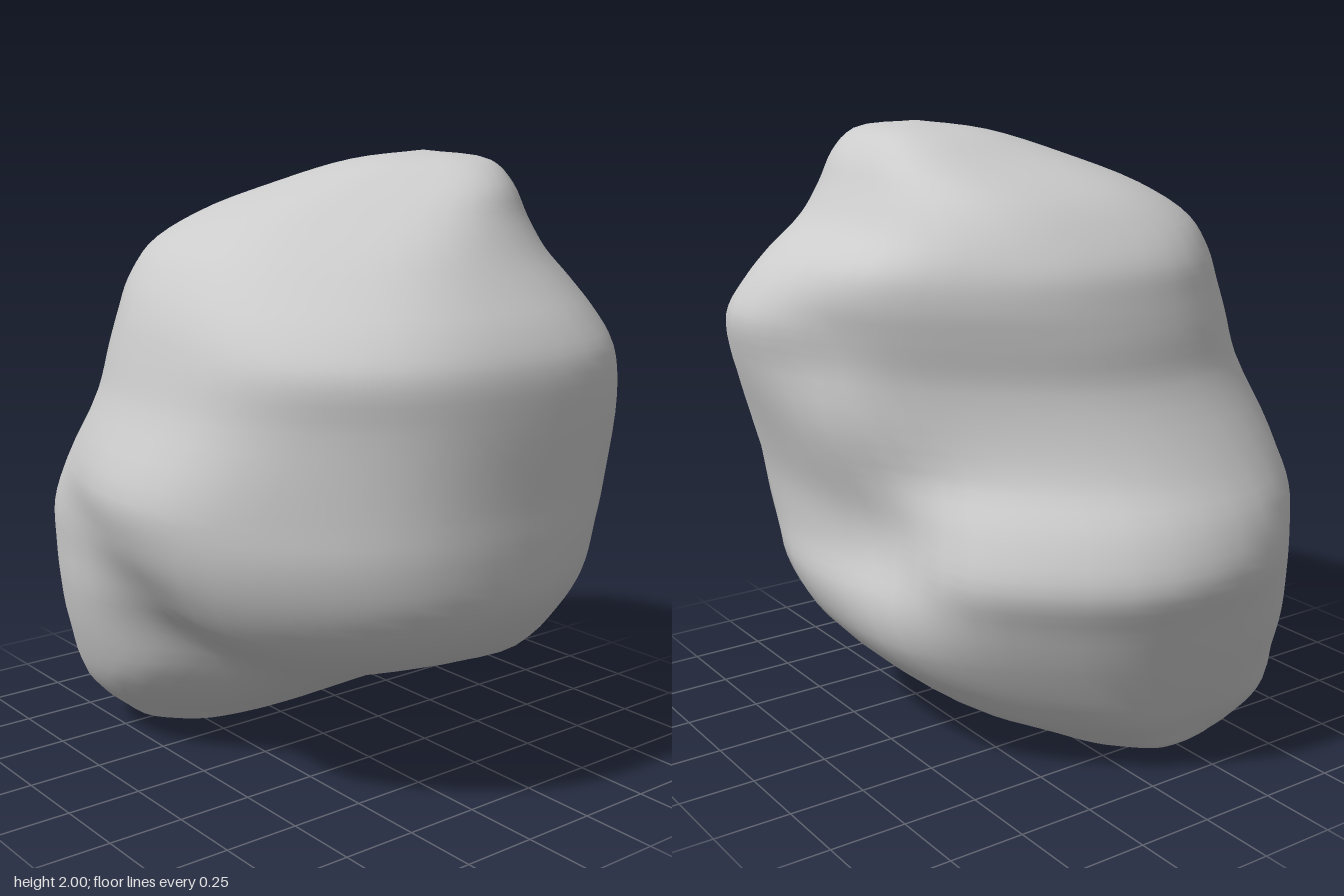
import * as THREE from 'three';
import { mergeVertices } from 'three/addons/utils/BufferGeometryUtils.js';

// Height, then the reach from the axis in eight directions, turning from +x to +z.
const LEVELS = [
  [0.03, -0.30, 0.00, 0.44, 0.66, 0.62, 0.34, 0.00, -0.32],
  [0.10, -0.12, 0.10, 0.53, 0.80, 0.67, 0.43, 0.18, -0.05],
  [0.20, 0.08, 0.25, 0.63, 0.88, 0.73, 0.53, 0.40, 0.26],
  [0.40, 0.63, 0.54, 0.73, 0.92, 0.82, 0.65, 0.63, 0.69],
  [0.56, 0.80, 0.74, 0.78, 0.93, 0.88, 0.72, 0.70, 0.81],
  [0.70, 0.89, 0.83, 0.81, 0.93, 0.93, 0.77, 0.69, 0.88],
  [0.85, 0.91, 0.87, 0.85, 0.92, 0.89, 0.72, 0.70, 0.92],
  [1.00, 0.91, 0.87, 0.87, 0.86, 0.80, 0.62, 0.74, 0.94],
  [1.25, 0.92, 0.87, 0.76, 0.73, 0.68, 0.59, 0.83, 0.96],
  [1.40, 0.91, 0.88, 0.72, 0.69, 0.66, 0.62, 0.87, 0.94],
  [1.50, 0.86, 0.82, 0.69, 0.66, 0.64, 0.64, 0.83, 0.88],
  [1.60, 0.78, 0.72, 0.64, 0.63, 0.61, 0.64, 0.74, 0.80],
  [1.70, 0.70, 0.60, 0.56, 0.57, 0.53, 0.61, 0.60, 0.72],
  [1.80, 0.63, 0.45, 0.41, 0.42, 0.41, 0.54, 0.53, 0.66],
  [1.90, 0.56, 0.30, 0.18, 0.16, 0.17, 0.39, 0.47, 0.61],
  [1.97, 0.45, 0.18, -0.02, -0.08, 0.00, 0.22, 0.39, 0.54],
];
// Hollows between the lobes: centre, radius, and how far the surface is pushed in.
const HOLLOWS = [
  { at: [0.08, 0.45, 0.70], radius: 0.27, push: [0, 0.04, -0.13] }, // low front
  { at: [0.42, 0.33, 0.00], radius: 0.25, push: [-0.06, 0.06, 0] }, // underside
  { at: [-0.22, 0.78, -0.64], radius: 0.25, push: [0.04, 0, 0.11] }, // back groove
  { at: [-0.02, 1.38, -0.83], radius: 0.22, push: [0, 0, 0.08] }, // upper back
  { at: [-0.28, 0.90, 0.83], radius: 0.24, push: [0, 0, -0.05] }, // front
];
const SIDES = 44;
const ROWS = 68;
const SHARPNESS = 10;

// Point of one level's rounded eight-sided outline at a given angle.
function outlinePoint([y, ...reach], angle) {
  const cx = (reach[0] - reach[4]) / 2;
  const cz = (reach[2] - reach[6]) / 2;
  let sum = 0;
  reach.forEach((r, k) => {
    const a = (k * Math.PI) / 4;
    const h = Math.max(0.05, r - cx * Math.cos(a) - cz * Math.sin(a));
    sum += Math.pow(Math.max(0, Math.cos(angle - a)) / h, SHARPNESS);
  });
  const radius = Math.pow(sum, -1 / SHARPNESS);
  return new THREE.Vector3(cx + radius * Math.cos(angle), y, cz + radius * Math.sin(angle));
}

// Pushes a surface point in, fading out with its distance from each hollow.
function carve(point) {
  const start = point.clone();
  for (const { at, radius, push } of HOLLOWS) {
    const distance = start.distanceTo(new THREE.Vector3(...at)) / radius;
    point.addScaledVector(new THREE.Vector3(...push), Math.exp(-distance * distance));
  }
  return point;
}

function boulderGeometry() {
  const bottom = new THREE.Vector3(-0.47, 0, 0.2);
  const top = new THREE.Vector3(0.22, 2, -0.23);
  const positions = [];
  const index = [];
  // One smooth curve from bottom to top for each side
  for (let i = 0; i < SIDES; i++) {
    const angle = (i / SIDES) * Math.PI * 2;
    const curve = new THREE.CatmullRomCurve3([
      bottom, ...LEVELS.map((level) => outlinePoint(level, angle)), top,
    ]);
    for (let j = 0; j <= ROWS; j++) {
      const p = carve(curve.getPoint(j / ROWS));
      positions.push(p.x, THREE.MathUtils.clamp(p.y, 0, 2), p.z);
    }
  }
  // Skin between neighbouring curves, with single triangles at the two ends
  for (let i = 0; i < SIDES; i++) {
    const here = i * (ROWS + 1);
    const next = ((i + 1) % SIDES) * (ROWS + 1);
    for (let j = 0; j < ROWS; j++) {
      if (j < ROWS - 1) index.push(here + j, here + j + 1, next + j + 1);
      if (j > 0) index.push(here + j, next + j + 1, next + j);
    }
  }
  const geometry = new THREE.BufferGeometry();
  geometry.setAttribute('position', new THREE.Float32BufferAttribute(positions, 3));
  geometry.setIndex(index);
  const merged = mergeVertices(geometry, 1e-5);
  merged.computeVertexNormals();
  return merged;
}

export function createModel() {
  const group = new THREE.Group();
  group.name = 'rock';
  const boulder = new THREE.Mesh(
    boulderGeometry(),
    new THREE.MeshStandardMaterial({ color: 0xcccccc }),
  );
  boulder.name = 'boulder';
  group.add(boulder);
  return group;
}
